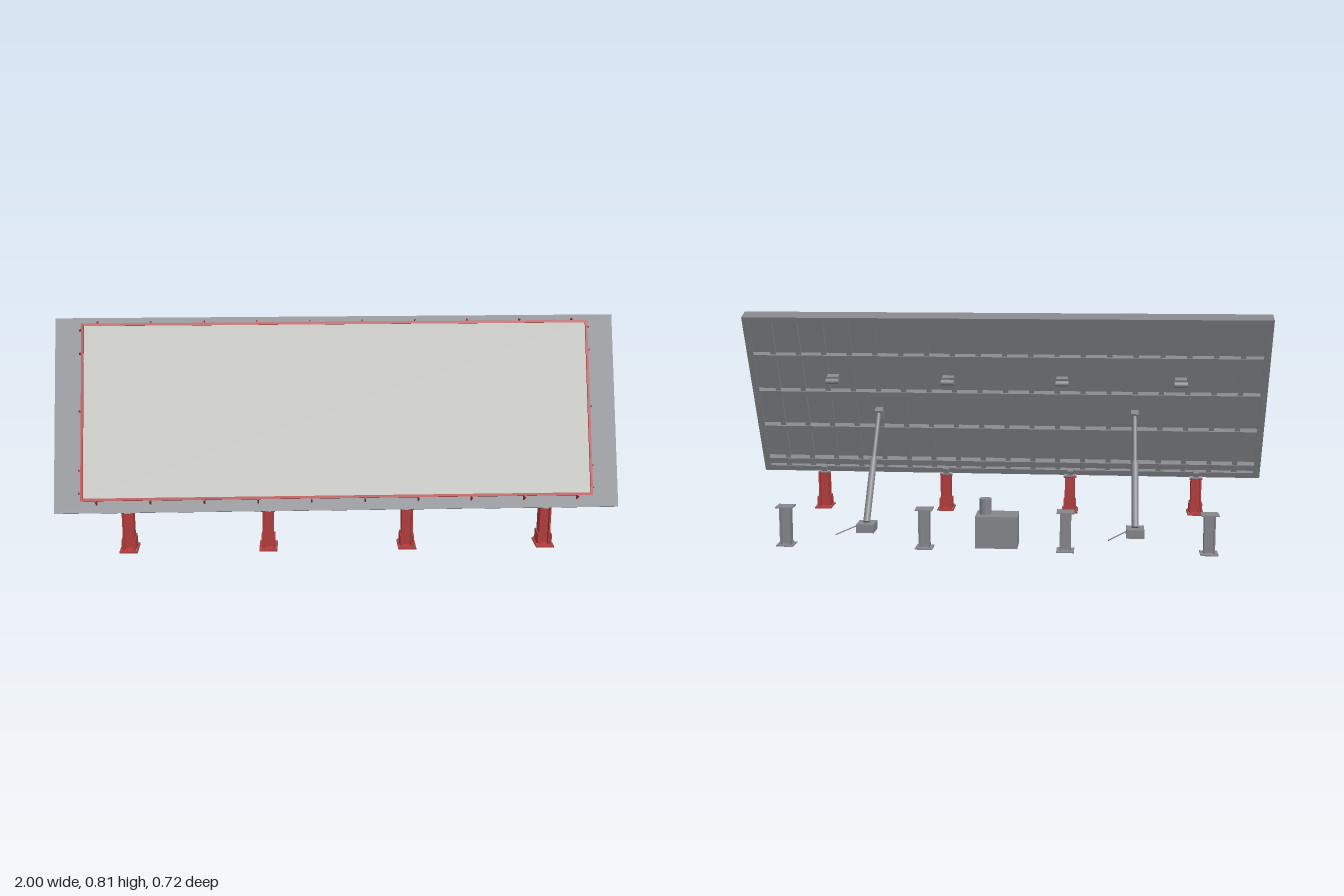
import * as THREE from 'three';

export function createModel() {
  const root = new THREE.Group();
  const mat = (name, color) => {
    const m = new THREE.MeshStandardMaterial({ color });
    m.name = name;
    return m;
  };
  const steel = mat('steel grey', 0x85868a);
  const red = mat('painted red', 0xb23c3c);
  const concrete = mat('concrete', 0xbdbdb9);

  const box = (parent, name, m, w, h, d, x, y, z) => {
    const mesh = new THREE.Mesh(new THREE.BoxGeometry(w, h, d), m);
    mesh.name = name;
    mesh.position.set(x, y, z);
    parent.add(mesh);
    return mesh;
  };
  // Round bar between two points
  const rod = (parent, name, m, a, b, r, sides = 20) => {
    const p = new THREE.Vector3(...a), q = new THREE.Vector3(...b);
    const mesh = new THREE.Mesh(new THREE.CylinderGeometry(r, r, p.distanceTo(q), sides), m);
    mesh.name = name;
    mesh.position.copy(p).add(q).multiplyScalar(0.5);
    mesh.quaternion.setFromUnitVectors(new THREE.Vector3(0, 1, 0), q.sub(p).normalize());
    parent.add(mesh);
    return mesh;
  };
  const group = (name, x = 0, y = 0, z = 0) => {
    const g = new THREE.Group();
    g.name = name;
    g.position.set(x, y, z);
    root.add(g);
    return g;
  };

  // Tilted table: local y runs up the slope, local z out of the casting face
  const L = 0.695, D = 0.052;
  const table = group('tiltingTable', 0, 0.165, 0.34);
  table.rotation.x = -0.383;
  box(table, 'tablePlate', steel, 2, L, 0.008, 0, L / 2, -0.004);

  // Perimeter channels
  for (const s of [-1, 1]) {
    box(table, 'sideChannelWeb', steel, 0.006, L, D - 0.008, s * 0.997, L / 2, -(D + 0.008) / 2);
    box(table, 'sideChannelLip', steel, 0.02, L, 0.005, s * 0.985, L / 2, -D + 0.0025);
    const y = s > 0 ? L - 0.003 : 0.003;
    box(table, 'longChannelWeb', steel, 1.988, 0.006, D - 0.008, 0, y, -(D + 0.008) / 2);
    box(table, 'longChannelLip', steel, 1.95, 0.02, 0.005, 0, y - s * 0.01, -D + 0.0025);
  }
  // Long beams and cross ribs behind the plate
  for (const y of [0.045, 0.2, 0.36, 0.52]) {
    box(table, 'longBeamWeb', steel, 1.988, 0.006, 0.038, 0, y, -0.027);
    box(table, 'longBeamFlange', steel, 1.988, 0.024, 0.005, 0, y, -0.0475);
  }
  for (let i = 1; i < 20; i++) {
    box(table, 'crossRib', steel, 0.006, L - 0.012, 0.034, -1 + i * 0.1, L / 2, -0.025);
    box(table, 'crossRibFlange', steel, 0.02, L - 0.012, 0.004, -1 + i * 0.1, L / 2, -0.042);
  }

  // Cast panel in its red formwork
  const y0 = 0.042, y1 = 0.669, H = 0.037, ym = (y0 + y1) / 2;
  box(table, 'castPanel', concrete, 1.786, y1 - y0 - 0.016, 0.034, 0, ym, 0.017);
  for (const s of [-1, 1]) {
    box(table, 'sideForm', red, 0.008, y1 - y0, H, s * 0.898, ym, H / 2);
    box(table, 'longForm', red, 1.788, 0.009, H, 0, s > 0 ? y1 - 0.0045 : y0 + 0.0045, H / 2);
  }
  // Triangular form braces
  const tri = new THREE.Shape([[0, 0], [0.014, 0], [0.004, 0.034], [0, 0.034]].map(p => new THREE.Vector2(...p)));
  const triGeo = new THREE.ExtrudeGeometry(tri, { depth: 0.005, bevelEnabled: false });
  triGeo.translate(0, 0, -0.0025).rotateX(Math.PI / 2);
  const brace = (x, y, turn) => {
    const m = new THREE.Mesh(triGeo, red);
    m.name = 'formBrace';
    m.position.set(x, y, 0);
    m.rotation.z = turn;
    table.add(m);
  };
  for (const v of [0.07, 0.15, 0.36, 0.565, 0.65]) {
    brace(0.902, v, 0);
    brace(-0.902, v, Math.PI);
  }
  for (let i = 0; i < 10; i++) {
    const x = -0.85 + i * 0.189;
    brace(x, y1, Math.PI / 2);
    brace(x, y0, -Math.PI / 2);
  }

  // Vibrators on the back of the table
  for (const x of [-0.67, -0.22, 0.22, 0.67]) {
    box(table, 'vibratorMount', steel, 0.045, 0.03, 0.022, x, 0.435, -0.058);
    rod(table, 'vibratorBody', steel, [x - 0.025, 0.435, -0.078], [x + 0.025, 0.435, -0.078], 0.011);
  }
  // Upper ram brackets
  for (const x of [-0.5, 0.5]) {
    box(table, 'ramBracket', steel, 0.03, 0.036, 0.032, x, 0.287, -0.064);
  }

  // Front hinge legs
  for (const x of [-0.75, -0.25, 0.25, 0.75]) {
    const leg = group('hingeLeg', x, 0, 0.275);
    box(leg, 'legFootPlate', red, 0.065, 0.005, 0.09, 0, 0.0045, 0);
    box(leg, 'legWeb', red, 0.032, 0.135, 0.008, 0, 0.0735, 0);
    for (const s of [-1, 1]) {
      box(leg, 'legFlange', red, 0.006, 0.142, 0.05, s * 0.017, 0.077, 0);
      box(leg, 'legGusset', red, 0.005, 0.042, 0.066, s * 0.0225, 0.027, 0);
      for (const z of [-0.032, 0.032]) {
        rod(leg, 'anchorBolt', steel, [s * 0.027, 0, z], [s * 0.027, 0.014, z], 0.003, 6);
      }
    }
    rod(leg, 'hingePin', steel, [-0.025, 0.145, 0], [0.025, 0.145, 0], 0.008);
    const lug = box(leg, 'hingeLug', steel, 0.022, 0.034, 0.026, 0, 0.156, 0.004);
    lug.rotation.x = -0.383;
  }

  // Hydraulic rams with base blocks and hoses
  for (const x of [-0.5, 0.5]) {
    const ram = group('hydraulicRam', x);
    rod(ram, 'ramRod', steel, [0, 0.415, 0.168], [0, 0.245, 0.037], 0.008);
    rod(ram, 'ramSleeve', steel, [0, 0.252, 0.042], [0, 0.038, -0.119], 0.013);
    box(ram, 'ramBase', steel, 0.066, 0.032, 0.073, 0, 0.021, -0.117);
    rod(ram, 'hose', steel, [0.01, 0.037, -0.125], [0.098, 0.012, -0.208], 0.0025, 8);
  }

  // Rear rest posts
  for (const x of [-0.75, -0.25, 0.25, 0.75]) {
    const post = group('restPost', x, 0, -0.327);
    box(post, 'postFootPlate', steel, 0.062, 0.004, 0.062, 0, 0.005, 0);
    box(post, 'postCap', steel, 0.062, 0.004, 0.055, 0, 0.144, 0);
    box(post, 'postWeb', steel, 0.034, 0.136, 0.005, 0, 0.0745, 0);
    for (const s of [-1, 1]) {
      box(post, 'postFlange', steel, 0.005, 0.136, 0.036, s * 0.017, 0.0745, 0);
    }
  }

  // Hydraulic power pack
  const pack = group('powerPack', -0.005, 0, -0.275);
  box(pack, 'packTank', steel, 0.15, 0.115, 0.098, 0, 0.061, 0);
  rod(pack, 'packMotor', steel, [0.042, 0.118, 0], [0.042, 0.175, 0], 0.022, 24);

  return root;
}
